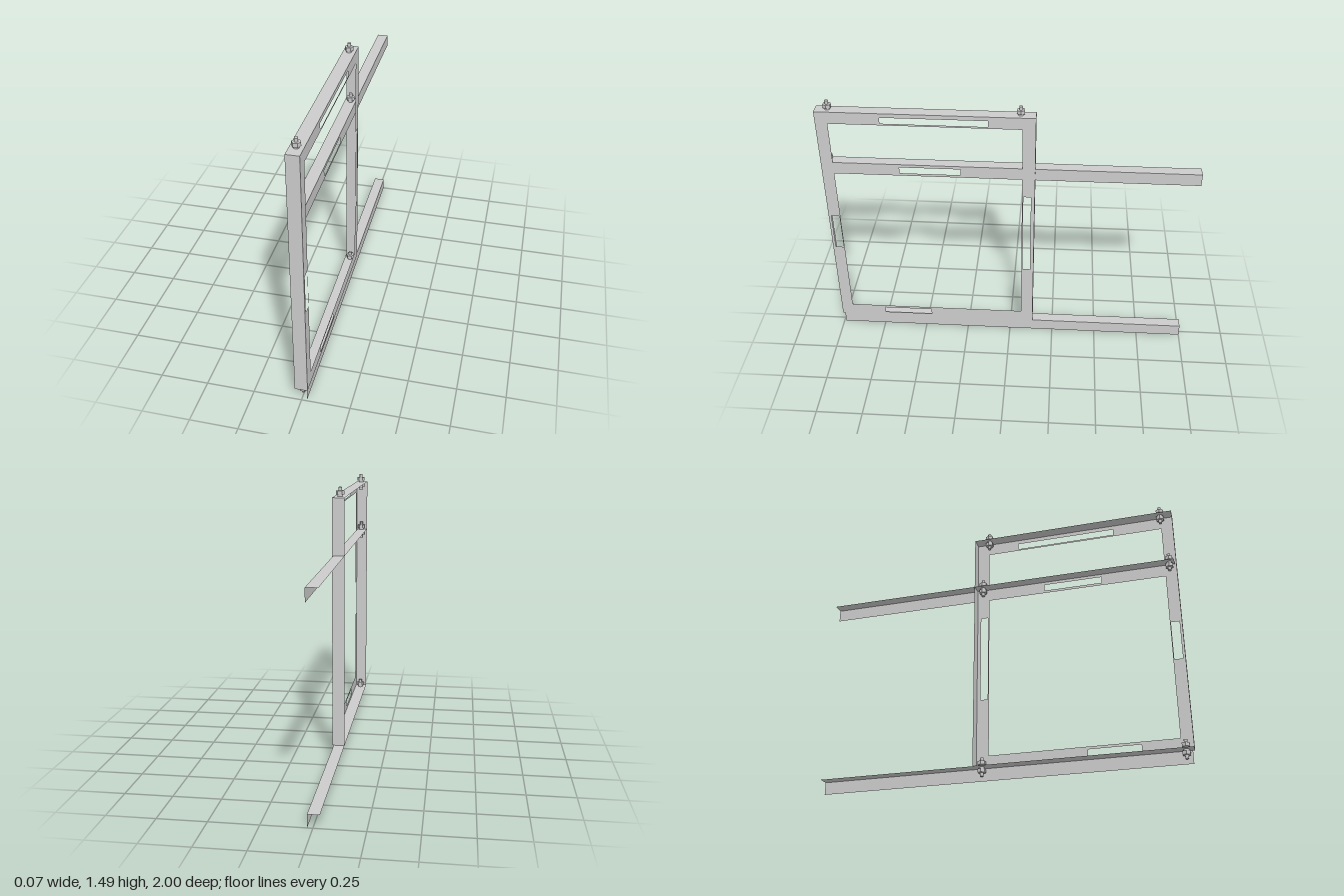
import * as THREE from 'three';

const material = new THREE.MeshStandardMaterial({ color: 0xcccccc, side: THREE.DoubleSide, flatShading: true });
const HALF = 0.033;         // half width of the frame angle section
const RAIL_WEB = 0.027;     // rail webs sit just inside the frame web

function add(parent, geometry, name) {
  const mesh = new THREE.Mesh(geometry, material);
  mesh.name = name;
  parent.add(mesh);
  return mesh;
}

// Rectangle in the z-y plane, traced as a path
function rect(path, [z0, z1, y0, y1]) {
  path.moveTo(z0, y0).lineTo(z1, y0).lineTo(z1, y1).lineTo(z0, y1).closePath();
  return path;
}

// Upright sheet in the z-y plane with rectangular cut-outs
function web(parent, name, x, outline, holes) {
  const shape = rect(new THREE.Shape(), outline);
  for (const h of holes) shape.holes.push(rect(new THREE.Path(), h));
  const geometry = new THREE.ShapeGeometry(shape).rotateY(-Math.PI / 2).translate(x, 0, 0);
  add(parent, geometry, name);
}

// Horizontal flange at height y
function flatFlange(parent, name, x0, x1, z0, z1, y) {
  const geometry = new THREE.PlaneGeometry(x1 - x0, z1 - z0).rotateX(-Math.PI / 2);
  add(parent, geometry, name).position.set((x0 + x1) / 2, y, (z0 + z1) / 2);
}

// Upright flange of a post
function postFlange(parent, name, z) {
  add(parent, new THREE.PlaneGeometry(2 * HALF, 1.365), name).position.set(0, 0.7525, z);
}

// Threaded rod with a washer and a hex nut on both sides of the flange
function bolt(parent, name, y, z) {
  const group = new THREE.Group();
  group.name = name;
  group.position.set(0, y, z);
  add(group, new THREE.CylinderGeometry(0.009, 0.009, 0.1, 16), 'rod');
  for (const side of [1, -1]) {
    add(group, new THREE.CylinderGeometry(0.014, 0.014, 0.01, 16), 'washer').position.y = side * 0.006;
    const nut = add(group, new THREE.CylinderGeometry(0.022, 0.022, 0.02, 6), 'nut');
    nut.position.y = side * 0.021;
    nut.rotation.y = Math.PI / 6 * 3;
  }
  parent.add(group);
}

export function createModel() {
  const model = new THREE.Group();
  model.name = 'angleFrame';

  // Rectangular frame: slotted web and four outer flanges
  const frame = new THREE.Group();
  frame.name = 'frame';
  web(frame, 'frameWeb', HALF, [-0.133, 1, 0.07, 1.435], [
    [-0.065, 0.935, 0.14, 1.368],     // opening
    [0.11, 0.665, 1.378, 1.412],      // top slot
    [0.465, 0.74, 0.09, 0.125],       // bottom slot
    [0.94, 0.985, 0.57, 0.785],       // front slot
    [-0.113, -0.072, 0.46, 0.955],    // back slot
  ]);
  flatFlange(frame, 'topFlange', -HALF, HALF, -0.133, 1, 1.435);
  flatFlange(frame, 'bottomFlange', -HALF, HALF, -0.133, 1, 0.07);
  postFlange(frame, 'frontFlange', 1);
  postFlange(frame, 'backFlange', -0.133);
  model.add(frame);

  // Two long rails running out to the back
  for (const [name, top, slots] of [
    ['middleRail', 1.13, [[0.26, 0.585, 1.077, 1.113]]],
    ['bottomRail', 0.068, []],
  ]) {
    const rail = new THREE.Group();
    rail.name = name;
    web(rail, 'railWeb', RAIL_WEB, [-1, 0.99, top - 0.068, top], slots);
    flatFlange(rail, 'railFlange', -HALF, RAIL_WEB, -1, 0.99, top);
    model.add(rail);
  }

  // Bolts at both ends of each horizontal member
  for (const [name, y, front, back] of [
    ['topBolt', 1.435, 0.935, -0.055],
    ['middleBolt', 1.13, 0.962, -0.092],
    ['bottomBolt', 0.07, 0.96, -0.092],
  ]) {
    bolt(model, name + 'Front', y, front);
    bolt(model, name + 'Back', y, back);
  }
  return model;
}
